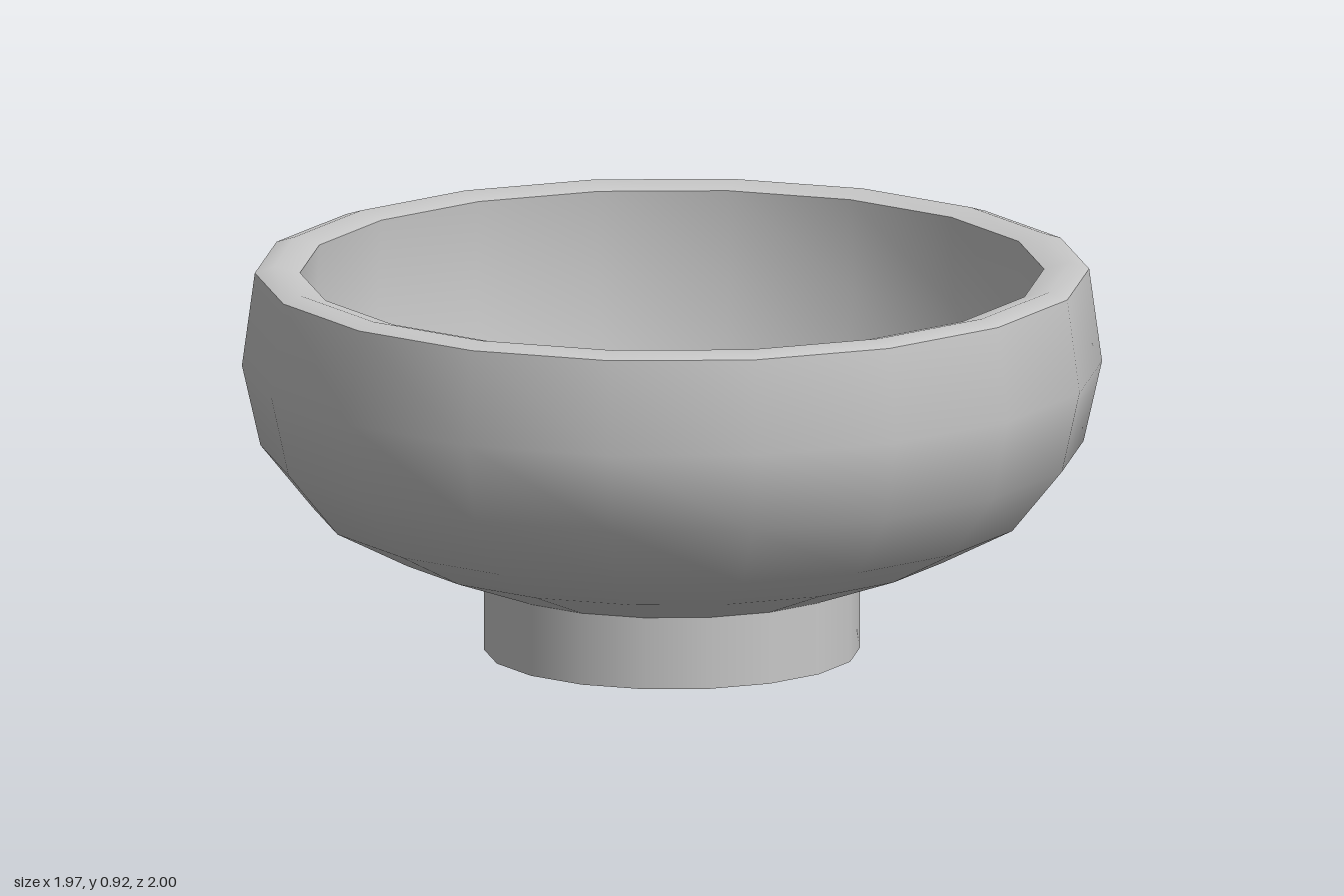
import * as THREE from 'three';

const SIDES = 18;

export function createModel() {
  const model = new THREE.Group();
  model.name = 'footedBowl';

  const clay = new THREE.MeshStandardMaterial({ color: 0xc8c8c8 });
  clay.name = 'greyClay';

  // Turned part: smooth along its profile, sharp where it meets the next part
  function turned(name, profile) {
    const points = profile.map(([r, y]) => new THREE.Vector2(r, y));
    const mesh = new THREE.Mesh(new THREE.LatheGeometry(points, SIDES), clay);
    mesh.name = name;
    model.add(mesh);
  }

  // Foot
  turned('footBase', [[0, 0], [0.437, 0]]);
  turned('footSide', [[0.437, 0], [0.437, 0.17]]);

  // Outside of the bowl
  turned('outerWall', [
    [0.437, 0.17], [0.66, 0.25], [0.835, 0.34], [0.957, 0.49], [1, 0.68], [0.97, 0.9],
  ]);

  // Slightly rounded lip
  turned('rim', [[0.97, 0.9], [0.925, 0.915], [0.865, 0.9]]);

  // Inside of the bowl
  turned('innerWall', [[0.865, 0.9], [0.878, 0.68], [0.83, 0.47]]);
  turned('innerFloor', [[0.83, 0.47], [0.69, 0.345], [0.42, 0.27], [0, 0.25]]);

  return model;
}
